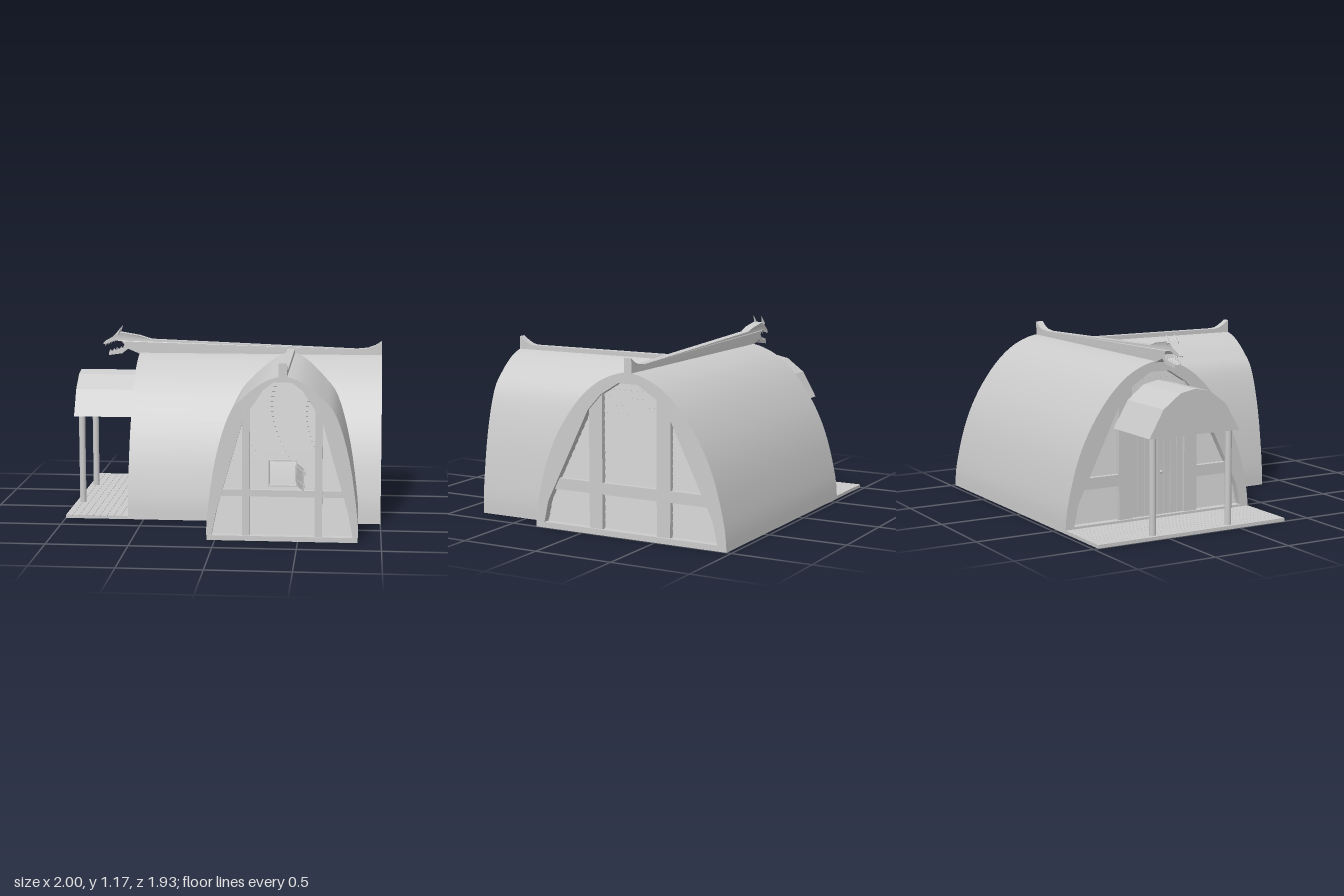
import * as THREE from 'three';
import { toCreasedNormals } from 'three/addons/utils/BufferGeometryUtils.js';

const material = new THREE.MeshStandardMaterial({ color: 0xcccccc, side: THREE.DoubleSide });

function add(parent, name, geometry, x = 0, y = 0, z = 0) {
  const mesh = new THREE.Mesh(geometry, material);
  mesh.name = name;
  mesh.position.set(x, y, z);
  parent.add(mesh);
  return mesh;
}

// Box given by its limits on each axis
function slab(parent, name, x0, x1, y0, y1, z0, z1) {
  return add(parent, name, new THREE.BoxGeometry(x1 - x0, y1 - y0, z1 - z0),
    (x0 + x1) / 2, (y0 + y1) / 2, (z0 + z1) / 2);
}

function group(parent, name) {
  const g = new THREE.Group();
  g.name = name;
  parent.add(g);
  return g;
}

const vectors = (pts) => pts.map(([x, y]) => new THREE.Vector2(x, y));

// Mirror a right half profile (bottom to top) into a closed outline
const mirrored = (half) => [...half, ...half.filter((p) => p.x > 0.0001).reverse()
  .map((p) => new THREE.Vector2(-p.x, p.y))];

// Half width of a profile at height y
function widthAt(half, y) {
  for (let i = 1; i < half.length; i++) {
    const a = half[i - 1], b = half[i];
    if (y <= b[1]) return THREE.MathUtils.mapLinear(Math.max(y, a[1]), a[1], b[1], a[0], b[0]);
  }
  return half[half.length - 1][0];
}

// Curved roof shell: arch with an opening, extruded backwards from z = 0
function archShell(parent, name, outer, inner, length) {
  const curve = new THREE.SplineCurve(vectors([...outer, [-outer.at(-2)[0], outer.at(-2)[1]]]));
  const n = (outer.length - 1) * 4;
  const half = [];
  for (let i = 0; i <= n; i++) half.push(curve.getPoint(i / (n + 4)));
  half[n].x = 0;
  const shape = new THREE.Shape(mirrored(half));
  shape.holes.push(new THREE.Path(mirrored(vectors(inner))));
  const geo = new THREE.ExtrudeGeometry(shape, { depth: length, bevelEnabled: false });
  geo.translate(0, 0, -length);
  add(parent, name, toCreasedNormals(geo, 0.5));
}

// Recessed gable: lapped boards, two posts and a rail, with an optional opening
function gableWall(parent, name, inner, o) {
  const g = group(parent, name);
  const top = inner.at(-1)[1];
  const rows = Math.round((top - inner[0][1]) / o.pitch);
  const pitch = (top - inner[0][1]) / rows;
  for (let i = 0; i < rows; i++) {
    const y = inner[0][1] + i * pitch;
    const w = widthAt(inner, y) + 0.008;
    const h = o.hole;
    const cut = h && y + pitch > h[2] + 0.005 && y < h[3] - 0.005;
    const spans = cut ? [[-w, h[0]], [h[1], w]] : [[-w, w]];
    for (const [a, b] of spans) {
      slab(g, 'wallBoard', a, b, y, y + pitch * 1.08, -0.06, -0.048).rotation.x = -0.2;
    }
  }
  for (const s of [-1, 1]) {
    const c = s * (o.post[0] + o.post[1]) / 2, r = (o.post[1] - o.post[0]) / 2;
    slab(g, 'wallPost', c - r, c + r, inner[0][1], o.post[2], -0.05, -0.015);
  }
  const rw = widthAt(inner, o.rail[0]) + 0.01;
  const rails = o.door ? [[-rw, -o.post[0]], [o.post[0], rw]] : [[-rw, rw]];
  for (const [a, b] of rails) slab(g, 'wallRail', a, b, o.rail[0], o.rail[1], -0.05, -0.018);
  return g;
}

// Ridge beam from a side outline, centred on its thickness
function ridgeGeometry(pts, width) {
  const geo = new THREE.ExtrudeGeometry(new THREE.Shape(vectors(pts)), { depth: width, bevelEnabled: false });
  return geo.translate(0, 0, -width / 2);
}

export function createModel() {
  const model = new THREE.Group();
  model.name = 'longhouse';
  const midZ = -0.32, wingX = 0.405;

  // Main hall, running along x
  const hallOuter = [[0.65, 0], [0.635, 0.15], [0.575, 0.39], [0.49, 0.59], [0.37, 0.77], [0.25, 0.89], [0.13, 0.96], [0, 0.99]];
  const hallInner = [[0.59, 0.035], [0.56, 0.17], [0.275, 0.75], [0.185, 0.85], [0.065, 0.925]];
  const hall = group(model, 'mainHall');
  hall.rotation.y = Math.PI / 2;
  hall.position.set(1, 0, midZ);
  archShell(hall, 'hallRoof', hallOuter, hallInner, 1.6);
  const hallWall = { pitch: 0.046, post: [0.185, 0.275, 0.85], rail: [0.245, 0.315] };
  gableWall(hall, 'rightGable', hallInner, hallWall);
  const entry = gableWall(hall, 'entryGable', hallInner, { ...hallWall, door: true });
  entry.rotation.y = Math.PI;
  entry.position.z = -1.6;

  // Double door between the entry posts
  for (let i = 0; i < 8; i++) {
    const x = -0.184 + i * 0.046;
    slab(entry, 'doorBoard', x + 0.002, x + 0.044, 0.035, 0.58, -0.05, -0.03);
  }
  slab(entry, 'doorLintel', -0.19, 0.19, 0.58, 0.64, -0.05, -0.015);
  for (const s of [-1, 1]) {
    add(entry, 'doorHandle', new THREE.SphereGeometry(0.01, 10, 8), s * 0.025, 0.3, -0.025);
  }

  // Front wing, running along z
  const wingOuter = [[0.455, 0], [0.45, 0.16], [0.4, 0.5], [0.32, 0.765], [0.225, 0.88], [0.13, 0.955], [0.06, 0.988], [0, 1]];
  const wingInner = [[0.425, 0.03], [0.395, 0.18], [0.235, 0.74], [0.115, 0.92], [0.055, 0.965]];
  const wing = group(model, 'frontWing');
  wing.position.set(wingX, 0, 0.82);
  archShell(wing, 'wingRoof', wingOuter, wingInner, 1.14);
  const hole = [-0.085, 0.09, 0.335, 0.485];
  gableWall(wing, 'frontGable', wingInner, { pitch: 0.03, post: [0.195, 0.24, 0.8], rail: [0.27, 0.31], hole });

  // Window lining
  for (const x of [hole[0], hole[1] - 0.008]) slab(wing, 'windowJamb', x, x + 0.008, hole[2], hole[3], -0.08, -0.03);
  for (const y of [hole[2] - 0.006, hole[3]]) slab(wing, 'windowSill', hole[0], hole[1], y, y + 0.008, -0.08, -0.03);

  // Open window shutter
  const shutter = group(wing, 'windowShutter');
  shutter.position.set(0.095, 0.41, 0);
  shutter.rotation.y = -Math.atan2(0.14, 0.04);
  slab(shutter, 'shutterHinge', -0.05, 0.005, -0.05, 0.05, -0.003, 0.003);
  for (let i = 0; i < 5; i++) slab(shutter, 'shutterBoard', i * 0.028, i * 0.028 + 0.025, -0.067, 0.07, -0.004, 0.004);
  for (const y of [-0.04, 0.04]) slab(shutter, 'shutterBatten', -0.005, 0.147, y - 0.012, y + 0.012, -0.008, 0.008);

  // Hall ridge with upswept tail and carved beast head
  const ridge = ridgeGeometry([
    [-0.6, 0.98], [1, 0.98], [1, 1.077], [0.96, 1.05], [0.91, 1.032], [0.84, 1.025], [-0.525, 1.076],
    [-0.605, 1.1], [-0.725, 1.12], [-0.757, 1.118], [-0.785, 1.09], [-0.835, 1.062], [-0.852, 1.045],
    [-0.835, 1.04], [-0.765, 1.068], [-0.72, 1.062], [-0.705, 1.04], [-0.715, 1.016], [-0.765, 1.002],
    [-0.81, 0.988], [-0.81, 0.968], [-0.72, 0.982], [-0.68, 1.013]], 0.05);
  const p = ridge.attributes.position;
  for (let i = 0; i < p.count; i++) {
    const x = p.getX(i);
    const k = x > -0.6 ? 1 : x > -0.74 ? 1.25 : THREE.MathUtils.mapLinear(x, -0.74, -0.852, 1.25, 0.6);
    p.setZ(i, p.getZ(i) * k);
  }
  add(model, 'hallRidge', toCreasedNormals(ridge, 0.4), 0, 0, midZ);
  for (const s of [-1, 1]) {
    const horn = add(model, 'horn', new THREE.ConeGeometry(0.013, 0.065, 6), -0.735, 1.137, midZ + s * 0.029);
    horn.rotation.z = -0.5;
    for (let i = 0; i < 4; i++) {
      const z = midZ + s * (0.018 + i * 0.003);
      add(model, 'lowerTooth', new THREE.ConeGeometry(0.005, 0.02, 5), -0.803 + i * 0.023, 0.998 + i * 0.006, z);
      add(model, 'upperTooth', new THREE.ConeGeometry(0.005, 0.018, 5), -0.832 + i * 0.021, 1.037 + i * 0.008, z).rotation.z = Math.PI;
    }
  }

  // Wing ridge with upswept end
  const wingRidge = add(model, 'wingRidge', ridgeGeometry([
    [-0.32, 0.97], [0.82, 0.97], [0.82, 1.08], [0.78, 1.05], [0.745, 1.032], [0.71, 1.025], [-0.32, 1.025]], 0.05), wingX);
  wingRidge.rotation.y = -Math.PI / 2;

  // Porch: boarded deck, posts and gabled canopy
  const porch = group(model, 'porch');
  slab(porch, 'deckBase', -1, -0.6, 0, 0.014, midZ - 0.65, midZ + 0.65);
  for (let i = 0; i < 9; i++) {
    const x = -1 + i * 0.4 / 9;
    slab(porch, 'deckBoard', x + 0.001, x + 0.0435, 0.012, 0.021, midZ - 0.65, midZ + 0.65);
  }
  for (const s of [-1, 1]) {
    add(porch, 'porchPost', new THREE.CylinderGeometry(0.021, 0.021, 0.6, 16), -0.955, 0.315, midZ + s * 0.263);
  }
  const canopyShape = new THREE.Shape(mirrored(vectors([[0.31, 0.6], [0.215, 0.765], [0.1, 0.85], [0, 0.87]])));
  const canopy = add(porch, 'porchRoof', toCreasedNormals(
    new THREE.ExtrudeGeometry(canopyShape, { depth: 0.42, bevelEnabled: false }), 0.3), -1, 0, midZ);
  canopy.rotation.y = Math.PI / 2;

  return model;
}
